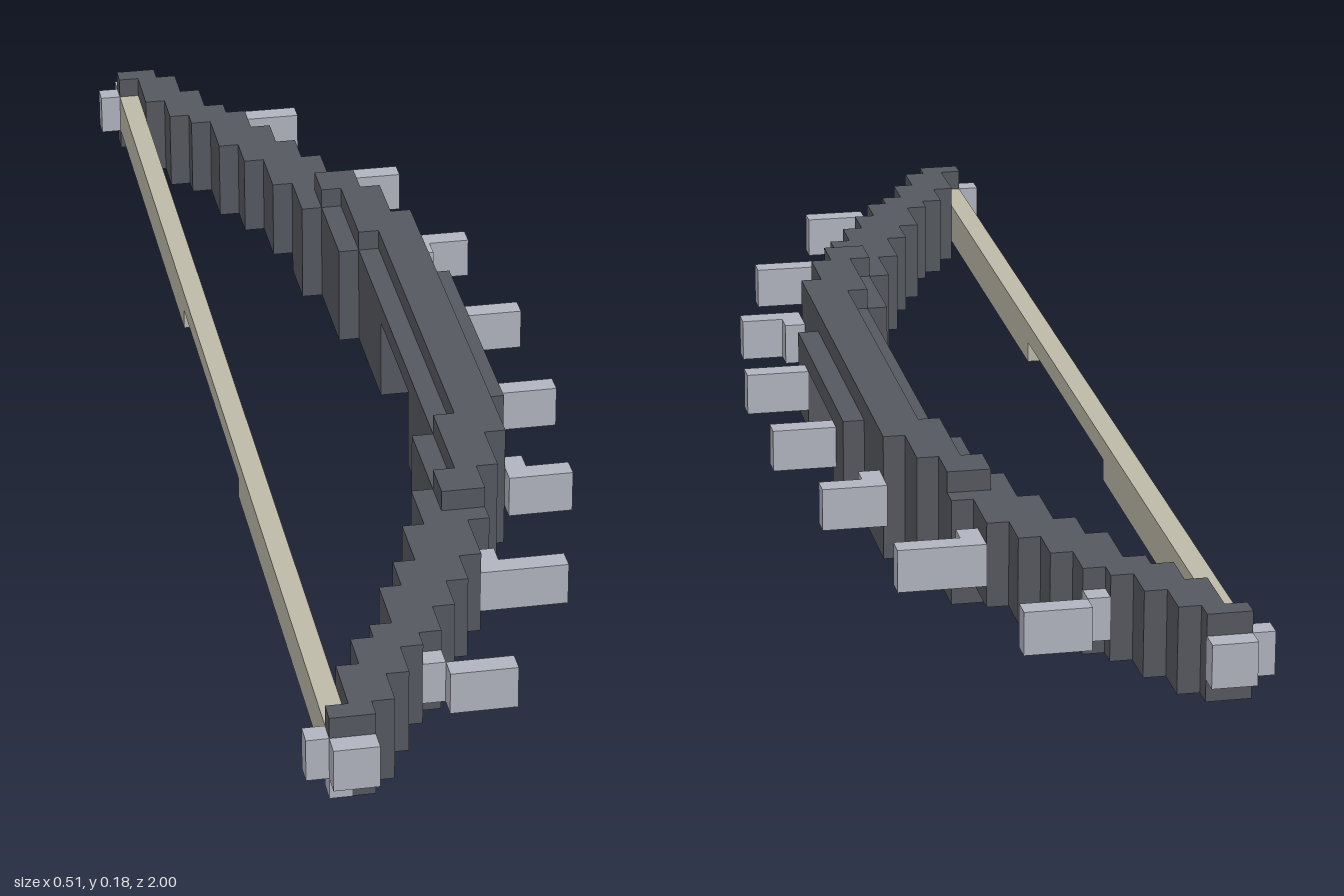
import * as THREE from 'three';

const ROWS = 67, U = 2 / ROWS; // grid of blocks: 17 columns (x), 6 layers (y), 67 rows (z)

const mat = (name, color) => {
  const m = new THREE.MeshStandardMaterial({ color });
  m.name = name;
  return m;
};

export function createModel() {
  const model = new THREE.Group();
  model.name = 'bow';
  const dark = mat('dark steel', 0x55585f);
  const light = mat('pale metal', 0xb1b4bf);
  const cream = mat('cream string', 0xbdb9a8);

  // block spanning columns a..b, layers c..d, rows e..f (end exclusive)
  const block = (parent, name, material, [a, b], [c, d], [e, f]) => {
    const mesh = new THREE.Mesh(
      new THREE.BoxGeometry((b - a) * U, (d - c) * U, (f - e) * U), material);
    mesh.position.set(((a + b) / 2 - 8.5) * U, (c + d) / 2 * U, ((e + f) / 2 - ROWS / 2) * U);
    mesh.name = name;
    parent.add(mesh);
  };

  // limb steps from tip to grip: first row, end row, inner column, outer column
  const steps = [
    [1, 2, 1, 3], [2, 4, 2, 4], [4, 5, 2, 5], [5, 6, 3, 5], [6, 7, 3, 6],
    [7, 8, 4, 7], [8, 9, 5, 7], [9, 11, 5, 8], [11, 13, 6, 9], [13, 16, 7, 10],
    [16, 19, 8, 11], [19, 22, 9, 12], [22, 24, 9, 13], [24, 27, 10, 13], [27, 30, 10, 14],
  ];
  // spikes: row, first column, end column, base column (or none)
  const spikes = [[5, 7, 10, 6], [13, 10, 14, 10], [21, 13, 16, 13], [29, 14, 17, null]];

  for (const back of [true, false]) {
    const half = new THREE.Group();
    half.name = back ? 'backLimb' : 'frontLimb';
    model.add(half);
    const rows = (e, f) => (back ? [e, f] : [ROWS - f, ROWS - e]);

    for (const [e, f, a, b] of steps) {
      block(half, 'limbStep', dark, [a, b], [1, 5], rows(e, f));
      if (e >= 16) {
        // thicker riser above and below
        const wide = Math.min(b, 13);
        block(half, 'riserTop', dark, [a + 1, wide], [5, 6], rows(Math.max(e, 17), f));
        block(half, 'riserBottom', dark, [a, wide], [0, 1], rows(back ? e : Math.max(e, 17), f));
      }
    }
    for (const [r, a, b, base] of spikes) {
      block(half, 'spike', light, [a, b], [2, 4], rows(r, r + 1));
      if (base !== null) block(half, 'spikeBase', light, [base, base + 1], [2, 4], rows(r + 1, r + 2));
    }
    // tip cap and string nock
    block(half, 'tipCap', light, [1, 3], [2, 4], rows(0, 1));
    block(half, 'nock', light, [0, 1], [2, 4], rows(1, 2));
    // string end, thicker than the middle
    block(model, 'stringEnd', cream, [1, 2], [2, 4], rows(2, 25));
  }

  // odd single blocks on the front limb
  block(model, 'lowerStud', dark, [8, 9], [0, 1], [51, 52]);
  block(model, 'lowerNock', light, [1, 1.99], [0.99, 2], [65, 66.01]);

  // grip bridge over the opening
  block(model, 'gripBridge', dark, [10, 14], [4, 5], [30, 37]);
  block(model, 'gripRidge', dark, [11, 13], [5, 6], [30, 37]);

  // thin middle of the string
  block(model, 'stringMiddle', cream, [1, 2], [3, 4], [25, 42]);

  return model;
}
